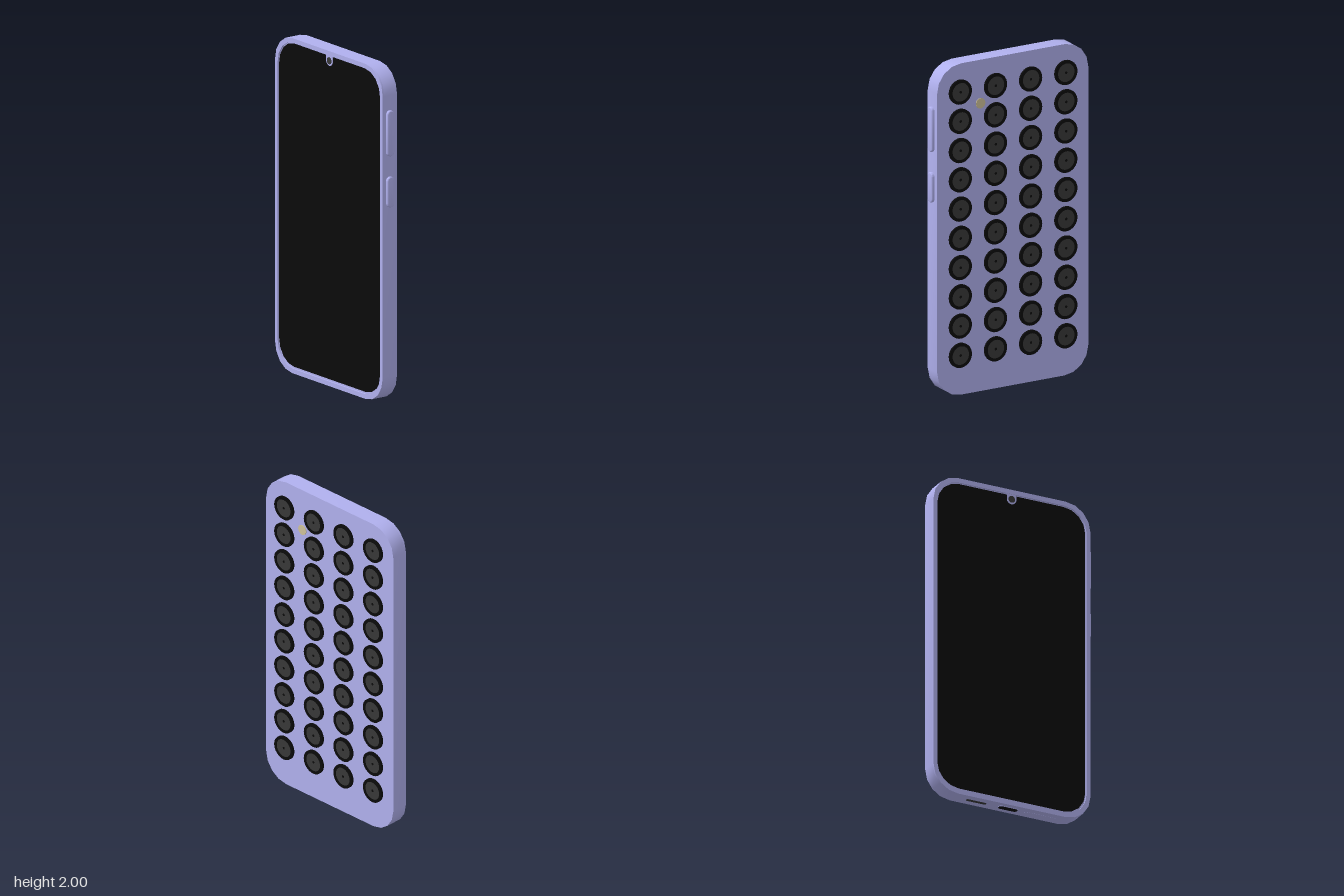
import * as THREE from 'three';
import { toCreasedNormals } from 'three/addons/utils/BufferGeometryUtils.js';

const CX = -0.01;               // body centre in x
const BACK = -0.047, SEAT = 0.046, FRONT = 0.057;

const mat = (color) => new THREE.MeshStandardMaterial({ color });
const shell = mat(0xb0b0ee), black = mat(0x0a0a0a), grey = mat(0x383838), flashTint = mat(0xcfc29a);

// rounded rectangle centred on the origin
function roundedRect(w, h, r, steps = 4) {
  const pts = [];
  [[1, 1], [-1, 1], [-1, -1], [1, -1]].forEach(([sx, sy], q) => {
    for (let i = 0; i <= steps; i++) {
      const a = (q + i / steps) * Math.PI / 2;
      pts.push(new THREE.Vector2(sx * (w / 2 - r) + r * Math.cos(a), sy * (h / 2 - r) + r * Math.sin(a)));
    }
  });
  return pts;
}

function plate(points, depth, hole, bevel = 0) {
  const shape = new THREE.Shape(points);
  if (hole) shape.holes.push(new THREE.Path(hole));
  const geo = new THREE.ExtrudeGeometry(shape, {
    depth, bevelEnabled: bevel > 0, bevelSize: bevel, bevelThickness: bevel, bevelOffset: -bevel, bevelSegments: 3,
  });
  return toCreasedNormals(geo, 0.7);
}

export function createModel() {
  const model = new THREE.Group();
  const add = (name, geo, material, x, y, z, parent = model) => {
    const mesh = new THREE.Mesh(geo, material);
    mesh.name = name;
    mesh.position.set(x, y, z);
    parent.add(mesh);
    return mesh;
  };

  // case: solid back and a raised rim around the screen
  const outline = roundedRect(1.015, 2, 0.16);
  const opening = roundedRect(0.966, 1.945, 0.145);
  add('body', plate(outline, SEAT - BACK), shell, CX, 1, BACK);
  add('rim', plate(outline, FRONT - SEAT, opening), shell, CX, 1, SEAT);
  add('screen', plate(roundedRect(0.954, 1.928, 0.14), 0.004), black, CX, 1.003, SEAT);

  // front camera in a small notch hanging from the rim
  const notch = new THREE.Shape();
  notch.moveTo(-0.03, 0.034).lineTo(-0.03, 0).absarc(0, 0, 0.03, Math.PI, Math.PI * 2, false).lineTo(0.03, 0.034);
  add('notch', plate(notch.getPoints(12), 0.008), shell, CX, 1.941, SEAT);
  const disc = (r, h, n = 24) => new THREE.CylinderGeometry(r, r, h, n).rotateX(Math.PI / 2);
  add('frontCamera', disc(0.021, 0.004), grey, CX, 1.941, SEAT + 0.008);

  // grid of rear cameras: black ring, recessed glass, tiny pupil
  const ringGeo = toCreasedNormals(new THREE.LatheGeometry(
    [[0.056, 0], [0.074, 0], [0.074, 0.014], [0.056, 0.014], [0.056, 0]].map(([x, y]) => new THREE.Vector2(x, y)), 32,
  ).rotateX(-Math.PI / 2), 0.6);
  const glassGeo = disc(0.057, 0.011, 32);
  const pupilGeo = disc(0.008, 0.003, 12);
  const cameras = new THREE.Group();
  cameras.name = 'rearCameras';
  model.add(cameras);
  for (let col = 0; col < 4; col++) {
    for (let row = 0; row < 10; row++) {
      const camera = new THREE.Group();
      camera.name = 'rearCamera';
      camera.position.set(-0.362 + col * 0.236, 1.83 - row * 0.1766, BACK);
      add('lensRing', ringGeo, black, 0, 0, 0, camera);
      add('lensGlass', glassGeo, grey, 0, 0, -0.0055, camera);
      add('lensPupil', pupilGeo, black, 0, 0, -0.0105, camera);
      cameras.add(camera);
    }
  }
  add('flash', disc(0.031, 0.008), flashTint, 0.207, 1.738, BACK);

  // side buttons
  for (const [name, y, length] of [['volumeButton', 1.615, 0.272], ['powerButton', 1.265, 0.182]]) {
    const geo = plate(roundedRect(0.05, length, 0.0245, 6), 0.018, null, 0.006).rotateY(Math.PI / 2);
    add(name, geo, shell, 0.491, y, 0.008);
  }

  // openings along the bottom edge
  const pill = (w, h, hole) => plate(roundedRect(w, h, h / 2 - 0.0005, 6), 0.004, hole).rotateX(Math.PI / 2);
  add('chargingPort', pill(0.12, 0.036), black, CX, 0.002, 0.005);
  add('chargingPortRim', pill(0.132, 0.046, roundedRect(0.12, 0.036, 0.0175, 6)), shell, CX, 0.002, 0.005);
  add('speakerSlot', pill(0.13, 0.022), grey, -0.215, 0.003, 0.005);
  add('microphoneSlot', pill(0.21, 0.022), shell, 0.2, 0.003, 0.005);

  return model;
}
